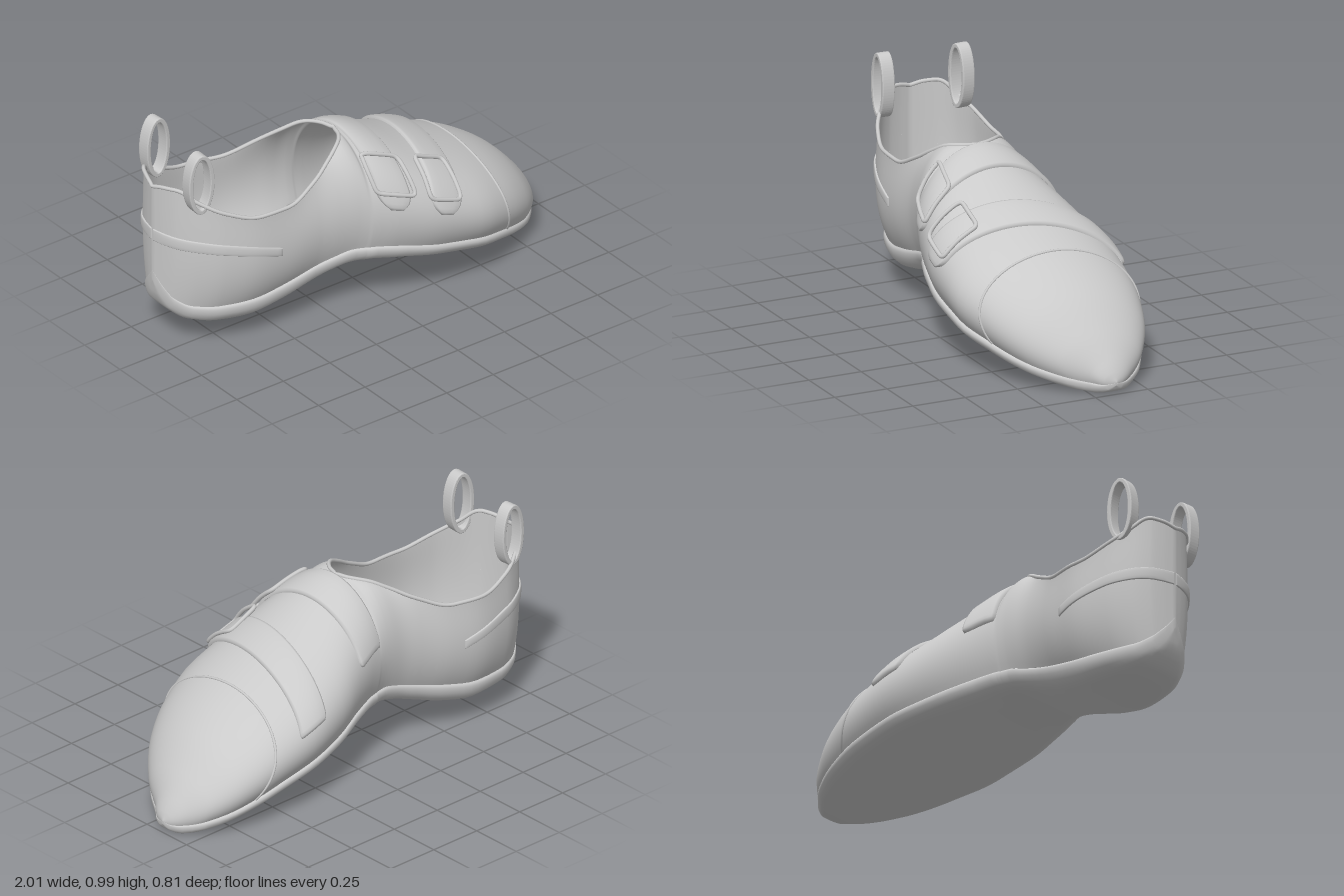
import * as THREE from 'three';
import { mergeVertices } from 'three/addons/utils/BufferGeometryUtils.js';

// Stations from heel to toe: x, z min, z max, sole bottom, sole edge, top/collar height, opening ratio
const ROWS = [
  [-1, -.1, -.1, .31, .36, .78, .96],
  [-.985, -.16, -.04, .23, .3, .795, .96],
  [-.96, -.22, .02, .175, .25, .8, .96],
  [-.9, -.28, .09, .13, .215, .75, .96],
  [-.8, -.325, .16, .11, .207, .69, .97],
  [-.65, -.345, .21, .105, .21, .642, .97],
  [-.5, -.32, .225, .13, .235, .64, .94],
  [-.35, -.28, .235, .178, .275, .7, .82],
  [-.25, -.265, .258, .213, .305, .76, .62],
  [-.17, -.268, .285, .232, .325, .8, .4],
  [-.13, -.272, .3, .235, .325, .805, .2],
  [-.11, -.275, .308, .235, .325, .805, 0],
  [0, -.31, .35, .22, .31, .768, 0],
  [.2, -.385, .395, .18, .262, .67, 0],
  [.4, -.42, .402, .14, .22, .58, 0],
  [.6, -.405, .345, .095, .17, .485, 0],
  [.75, -.365, .26, .053, .12, .385, 0],
  [.88, -.285, .125, .015, .075, .25, 0],
  [.95, -.2, .005, 0, .05, .155, 0],
  [.985, -.145, -.045, .015, .045, .095, 0],
  [1, -.1, -.1, .04, .05, .055, 0],
];
const N = ROWS.length;
const lerp = THREE.MathUtils.lerp;
const clamp = THREE.MathUtils.clamp;

// Smooth monotone interpolation of a station column
const slope = (i, c) => (ROWS[i + 1][c] - ROWS[i][c]) / (ROWS[i + 1][0] - ROWS[i][0]);
function tangent(i, c) {
  if (i === 0) return slope(0, c);
  if (i === N - 1) return slope(N - 2, c);
  const a = slope(i - 1, c), b = slope(i, c);
  return a * b > 0 ? 2 * a * b / (a + b) : 0;
}
function station(x) {
  let i = 0;
  while (i < N - 2 && x > ROWS[i + 1][0]) i++;
  const d = ROWS[i + 1][0] - ROWS[i][0], s = (x - ROWS[i][0]) / d;
  const f = (c) => {
    const s2 = s * s, s3 = s2 * s;
    return (2 * s3 - 3 * s2 + 1) * ROWS[i][c] + (s3 - 2 * s2 + s) * d * tangent(i, c)
      + (3 * s2 - 2 * s3) * ROWS[i + 1][c] + (s3 - s2) * d * tangent(i + 1, c);
  };
  const z0 = f(1), z1 = f(2), r = Math.max(0, f(6));
  // edge: half-width of the sole, narrower than the upper and narrowest at the heel
  return { zc: (z0 + z1) / 2, w: (z1 - z0) / 2, edge: (z1 - z0) / 2 * lerp(.88, .81, r), yb: f(3), ys: f(4), yt: f(5), r };
}

// Point on the upper: side is +1 or -1, t runs from sole edge (0) to collar or ridge (1)
function upperPoint(x, side, t) {
  const { zc, w, edge, ys, yt, r } = station(x), h = yt - ys, k = 1 - t;
  const b = [k * k * k, 3 * k * k * t, 3 * k * t * t, t * t * t];
  const z = edge * b[0] + w * (lerp(1.22, 1.12, r) * b[1] + lerp(.61, 1, r) * b[2] + r * b[3]);
  const y = ys + h * (lerp(.55, .36, r * r) * b[1] + lerp(1, .7, r * r) * b[2] + b[3]);
  return new THREE.Vector3(x, y, zc + side * z);
}

// Point lifted off the upper; v is 0 on the ridge and +-1 at the sole edges
function lifted(x, v, lift) {
  x = clamp(x, -1, 1);
  const side = v < 0 ? -1 : 1, t = clamp(1 - Math.abs(v), 0, 1);
  const dx = upperPoint(Math.min(1, x + .004), side, t).sub(upperPoint(Math.max(-1, x - .004), side, t));
  const dt = upperPoint(x, side, Math.min(1, t + .01)).sub(upperPoint(x, side, Math.max(0, t - .01)));
  const n = dx.cross(dt).multiplyScalar(side).normalize();
  return upperPoint(x, side, t).addScaledVector(n, lift);
}
function vAtHeight(x, side, y) {
  let a = 0, b = 1;
  for (let i = 0; i < 20; i++) {
    const m = (a + b) / 2;
    if (upperPoint(x, 1, m).y < y) a = m; else b = m;
  }
  return side * (1 - a);
}

// Surface through grids of points
function grids(list) {
  const pos = [], idx = [];
  for (const { rows, flip } of list) {
    const base = pos.length / 3, m = rows[0].length;
    rows.forEach((row) => row.forEach((p) => pos.push(p.x, p.y, p.z)));
    for (let i = 0; i < rows.length - 1; i++) for (let j = 0; j < m - 1; j++) {
      const a = base + i * m + j, b = a + m;
      if (flip) idx.push(a, b + 1, b, a, a + 1, b + 1);
      else idx.push(a, b, b + 1, a, b + 1, a + 1);
    }
  }
  let g = new THREE.BufferGeometry();
  g.setAttribute('position', new THREE.Float32BufferAttribute(pos, 3));
  g.setIndex(idx);
  g = mergeVertices(g, 1e-5);
  g.computeVertexNormals();
  return g;
}

// Raised plate on the upper; map(a, b) gives [x, v] for a in 0..1 and b in -1..1
function plate(map, thick, steps) {
  const across = [[-1, .06], [-.97, .7], [-.85, 1], [-.4, 1.1], [0, 1.15], [.4, 1.1], [.85, 1], [.97, .7], [1, .06]];
  const along = [[0, .06], [.003, .7]];
  for (let i = 1; i < steps; i++) along.push([i / steps, 2]);
  along.push([.997, .7], [1, .06]);
  const rows = along.map(([a, ha]) => across.map(([b, hb]) => {
    const [x, v] = map(a, b);
    return lifted(x, v, thick * Math.min(ha, hb));
  }));
  return grids([{ rows }]);
}

export function createModel() {
  const shoe = new THREE.Group();
  shoe.name = 'shoe';
  const grey = new THREE.MeshStandardMaterial({ color: 0xcacaca, side: THREE.DoubleSide });
  grey.name = 'grey';
  const add = (name, geometry) => {
    const mesh = new THREE.Mesh(geometry, grey);
    mesh.name = name;
    shoe.add(mesh);
    return mesh;
  };
  const tube = (points, radius, closed, segments) => new THREE.TubeGeometry(
    new THREE.CatmullRomCurve3(points, closed), segments, radius, 8, closed);

  const xs = [-1];
  for (let i = 0; i < N - 1; i++) for (let k = 1; k <= 4; k++) xs.push(lerp(ROWS[i][0], ROWS[i + 1][0], k / 4));

  // Upper: two halves joined along the ridge and heel
  add('upper', grids([1, -1].map((side) => ({
    flip: side < 0,
    rows: xs.map((x) => Array.from({ length: 29 }, (_, j) => upperPoint(x, side, j / 28))),
  }))));

  // Sole with a rounded side band
  add('sole', grids([1, -1].map((side) => ({
    flip: side < 0,
    rows: xs.map((x) => {
      const { zc, edge, yb, ys } = station(x), lip = Math.min(.006, edge * .1), h = ys - yb;
      return [[0, 0, 0], [.45, .01, 0], [.72, .05, 0], [.87, .16, 0], [.96, .34, .3], [1.01, .6, 1], [1.02, .85, 1], [1.005, .97, .7], [.99, 1, -.5]]
        .map(([z, y, l]) => new THREE.Vector3(x, yb + h * y, zc + side * (edge * z + lip * l)));
    }),
  }))));

  // Collar binding round the opening
  const open = xs.filter((x) => x <= -.1099);
  const rim = open.map((x) => upperPoint(x, 1, 1));
  rim.push(...open.slice(1, -1).reverse().map((x) => upperPoint(x, -1, 1)));
  add('collarBinding', tube(rim, .009, true, 160));

  // Straps over the instep, rounded at the buckle end, with their buckles
  const straps = [
    { name: 'rearStrap', v: [-.68, .73], x: [-.04, -.015], w: .075, by: [.725, .59], bx: [-.03, -.01], bw: .085 },
    { name: 'frontStrap', v: [-.68, .74], x: [.395, .215], w: .075, by: [.625, .495], bx: [.225, .215], bw: .078 },
  ];
  for (const s of straps) {
    add(s.name, plate((a, b) => {
      const e = Math.max(0, (a - .9) / .1), e0 = Math.max(0, (.03 - a) / .03);
      const width = s.w * Math.max(.35, Math.sqrt(1 - e * e)) * (1 - .15 * e0 * e0);
      return [lerp(s.x[0], s.x[1], a) + b * width, lerp(s.v[0], s.v[1], a)];
    }, .017, 56));
    // Buckle frame: a rounded rectangle laid on the strap
    const xm = (s.bx[0] + s.bx[1]) / 2;
    const bv = s.by.map((y) => vAtHeight(xm, 1, y - .012));
    const loop = [];
    for (let i = 0; i < 48; i++) {
      const q = i / 48 * Math.PI * 2, c = Math.cos(q), n = Math.sin(q);
      const p = Math.sign(c) * Math.abs(c) ** .25, k = .5 + .5 * Math.sign(n) * Math.abs(n) ** .25;
      loop.push(lifted(lerp(s.bx[0], s.bx[1], k) + p * s.bw, lerp(bv[0], bv[1], k), .024));
    }
    add(s.name + 'Buckle', tube(loop, .01, true, 120));
  }

  // Toe cap seam
  const seam = [];
  for (let i = 0; i <= 40; i++) {
    const v = i / 20 - 1;
    seam.push(lifted(.535 + (v < 0 ? .15 : .07) * v * v, v, 0));
  }
  add('toeCapSeam', tube(seam, .006, false, 80));

  // Tapered heel stripe on both sides
  for (const side of [1, -1]) {
    add(side > 0 ? 'heelStripeFront' : 'heelStripeBack', plate((a, b) => {
      const x = lerp(-.999, -.545, a);
      const y = .54 - .04 * a - .06 * a * a + b * lerp(.028, .02, a);
      return [x, vAtHeight(x, side, y)];
    }, .008, 30));
  }

  // Pull loops at the heel
  for (const [x, z, turn] of [[-.89, .083, -.05], [-.855, -.275, .08]]) {
    const ring = new THREE.Shape().absellipse(0, 0, .062, .142, 0, Math.PI * 2);
    ring.holes.push(new THREE.Path().absellipse(0, 0, .049, .129, 0, Math.PI * 2, true));
    const g = new THREE.ExtrudeGeometry(ring, {
      depth: .048, curveSegments: 32, bevelEnabled: true, bevelSize: .004, bevelThickness: .005, bevelSegments: 2,
    });
    g.translate(0, 0, -.024);
    const loop = add('pullLoop', g);
    loop.position.set(x, .845, z);
    loop.rotation.y = turn;
  }
  return shoe;
}
